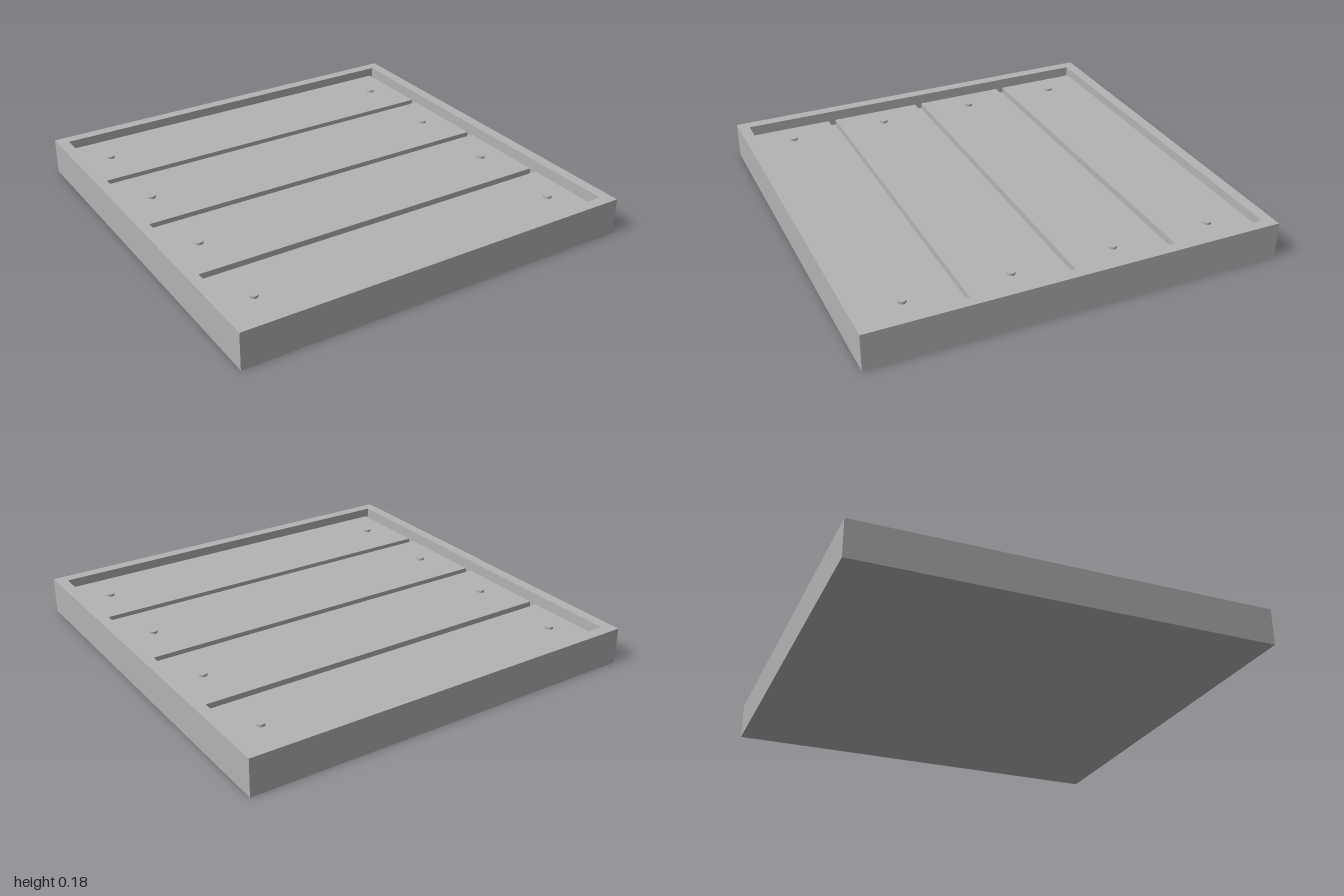
import * as THREE from 'three';

export function createModel() {
  const model = new THREE.Group();
  model.name = 'plankTray';
  const grey = new THREE.MeshStandardMaterial({ color: 0xb3b3b3 });
  grey.name = 'grey';

  const BASE = 0.1, TOP = 0.18, PLANK_TOP = 0.135, INNER = 0.945;

  function add(name, geometry, x, y, z) {
    const mesh = new THREE.Mesh(geometry, grey);
    mesh.name = name;
    mesh.position.set(x, y, z);
    model.add(mesh);
  }

  // Solid slab under everything
  add('baseSlab', new THREE.BoxGeometry(2, BASE, 2), 0, BASE / 2, 0);

  // Raised square rim
  const rim = new THREE.Shape([[-1, -1], [1, -1], [1, 1], [-1, 1]].map(p => new THREE.Vector2(...p)));
  rim.holes.push(new THREE.Path(
    [[-1, -1], [-1, 1], [1, 1], [1, -1]].map(([x, y]) => new THREE.Vector2(x * INNER, y * INNER))));
  const rimGeometry = new THREE.ExtrudeGeometry(rim, { depth: TOP - BASE, bevelEnabled: false });
  rimGeometry.rotateX(-Math.PI / 2);
  add('rim', rimGeometry, 0, BASE, 0);

  // Four planks with narrow grooves between them, two bolts on each
  const planks = [[-0.945, -0.522], [-0.482, -0.02], [0.018, 0.48], [0.52, 0.945]];
  const bolt = new THREE.CylinderGeometry(0.02, 0.02, 0.012, 16);
  planks.forEach(([back, front], i) => {
    add('plank' + (i + 1), new THREE.BoxGeometry(1.86, PLANK_TOP - BASE, front - back),
      0, (PLANK_TOP + BASE) / 2, (front + back) / 2);
    for (const side of [-1, 1]) {
      add('bolt', bolt, side * 0.8, PLANK_TOP + 0.006, -0.75 + i * 0.5);
    }
  });

  return model;
}
